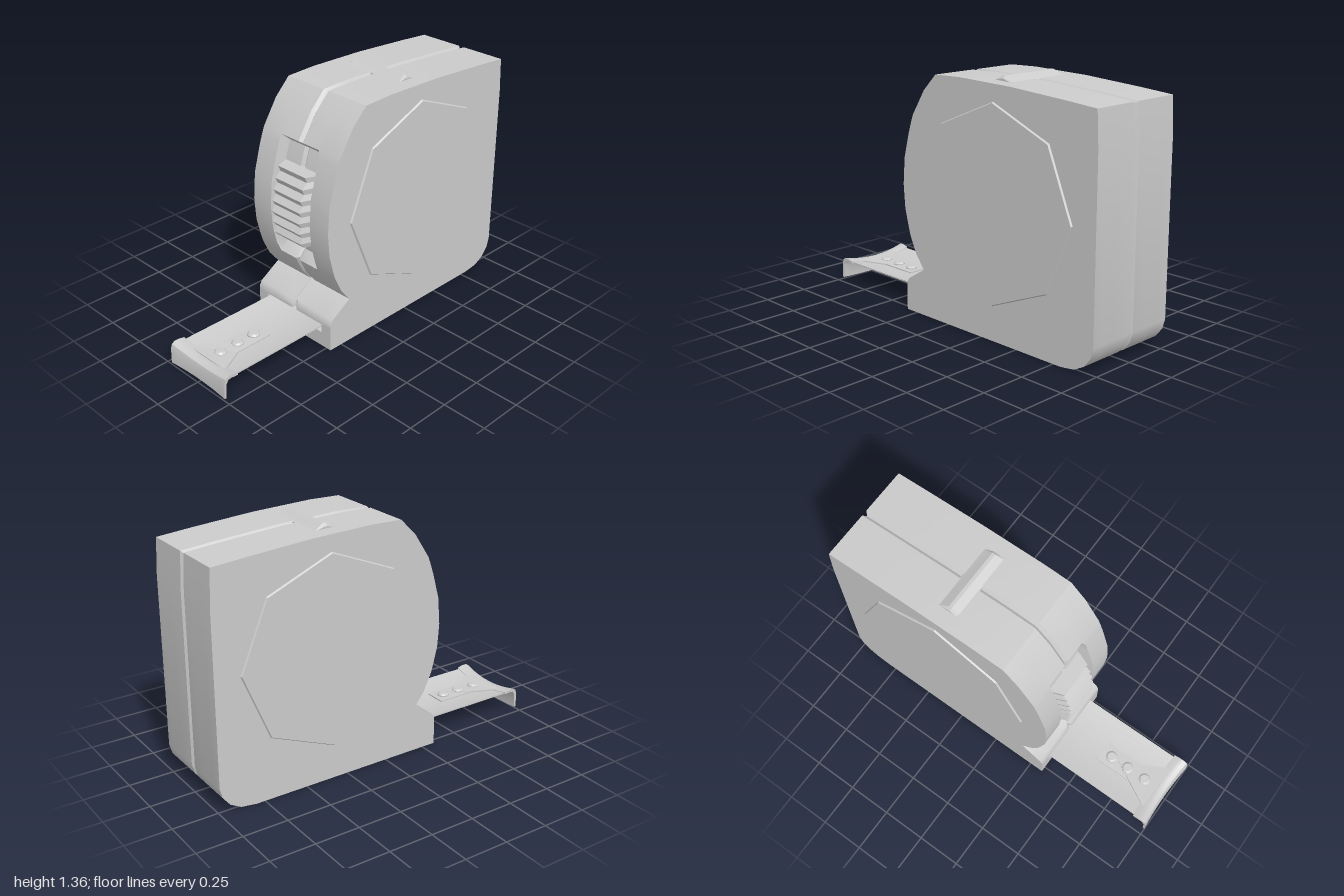
import * as THREE from 'three';
import { toCreasedNormals } from 'three/addons/utils/BufferGeometryUtils.js';

const grey = new THREE.MeshStandardMaterial({ color: 0xcccccc });

// Joins [z, y] outlines (counter-clockwise, z to the right) standing at rising x, with closed ends
function loft(rings, crease = 0.6) {
  const n = rings[0].pts.length;
  const pos = [], index = [];
  rings.forEach(r => r.pts.forEach(([z, y]) => pos.push(r.x, y, z)));
  for (let i = 0; i < rings.length - 1; i++) {
    for (let j = 0; j < n; j++) {
      const a = i * n + j, b = i * n + (j + 1) % n;
      index.push(a, a + n, b, b, a + n, b + n);
    }
  }
  const cap = (ring, base, flip) => {
    const outline = ring.pts.map(([z, y]) => new THREE.Vector2(z, y));
    for (const [a, b, c] of THREE.ShapeUtils.triangulateShape(outline, [])) {
      if (flip) index.push(base + a, base + c, base + b);
      else index.push(base + a, base + b, base + c);
    }
  };
  cap(rings[0], 0, false);
  cap(rings[rings.length - 1], (rings.length - 1) * n, true);
  const geo = new THREE.BufferGeometry();
  geo.setAttribute('position', new THREE.Float32BufferAttribute(pos, 3));
  geo.setIndex(index);
  return toCreasedNormals(geo, crease);
}

// Case outline [z, y, tag]: tag 1 sinks for the tape slot, tag 2 for the thumb recess
const CASE = [
  [0.33, 0], [0.33, 0.084], [0.33, 0.086, 1], [0.33, 0.132, 1], [0.33, 0.134], [0.33, 0.155],
  [0.315, 0.182], [0.19, 0.26], [0.25, 0.335], [0.295, 0.43],
  [0.31, 0.48, 2], [0.335, 0.58, 2], [0.345, 0.71, 2], [0.333, 0.86, 2], [0.295, 1.0, 2], [0.275, 1.06, 2],
  [0.26, 1.1], [0.17, 1.24], [0.08, 1.33], [-0.1, 1.335], [-0.45, 1.325], [-0.8, 1.302], [-0.99, 1.287],
  [-1, 1.1], [-1, 0.15], [-0.985, 0.095], [-0.945, 0.045], [-0.885, 0.012], [-0.8, 0],
];

function caseRing(x, slot, recess, scale = 1) {
  const pts = CASE.map(([z, y, tag]) => {
    if (tag === 1) z -= slot;
    if (tag === 2) z -= recess;
    return [-0.33 + (z + 0.33) * scale, 0.67 + (y - 0.67) * scale];
  });
  return { x, pts };
}

// Height of the dished tape across its width
const sag = x => 0.098 + 0.024 * (x / 0.21) ** 2;
const across = (half, count, outline) => Array.from({ length: count + 1 }, (_, i) => {
  const x = half * (2 * i / count - 1);
  return { x, pts: outline(x) };
});

export function createModel() {
  const model = new THREE.Group();
  const add = (name, geo, parent = model) => {
    const mesh = new THREE.Mesh(geo, grey);
    mesh.name = name;
    parent.add(mesh);
    return mesh;
  };

  // Case with a V seam around the middle, a thumb recess and a tape slot
  const half = [[0.017, 0.2, 0.06], [0.13, 0.2, 0.06], [0.147, 0.2, 0], [0.212, 0.2, 0], [0.212, 0, 0], [0.28, 0, 0]];
  add('case', loft([
    ...half.slice().reverse().map(([x, s, r]) => caseRing(-x, s, r)),
    caseRing(0, 0.2, 0.06, 0.975),
    ...half.map(([x, s, r]) => caseRing(x, s, r)),
  ]));

  // Octagonal side panels with a slim bevel
  for (const side of [-1, 1]) {
    const bevel = new THREE.CylinderGeometry(0.519, 0.527, 0.012, 8);
    bevel.rotateZ(-side * Math.PI / 2);
    const panel = add(side > 0 ? 'leftPanel' : 'rightPanel', toCreasedNormals(bevel, 0.3));
    panel.position.set(side * 0.283, 0.715, -0.335);
  }

  // Ridged thumb lock with sloping sides
  const teeth = Array.from({ length: 14 }, (_, i) => {
    const y = 0.56 + i * 0.0305;
    return [0.368 - 0.8 * (y - 0.7) ** 2 + (i % 2 ? 0.011 : -0.011), y];
  });
  const lockRing = (x, sink) => ({ x, pts: [[0.2, 0.56], ...teeth.map(([z, y]) => [z - sink, y]), [0.2, 0.9565]] });
  add('thumbLock', loft([lockRing(-0.128, 0.07), lockRing(-0.1, 0), lockRing(0.1, 0), lockRing(0.128, 0.07)], 0.3));

  // Low rib across the top
  const ribRing = (x, top) => ({
    x, pts: [[-0.255, 1.3], [-0.255, 1.328], [-0.3, top], [-0.318, top], [-0.375, 1.324], [-0.375, 1.3]],
  });
  add('topRib', loft([ribRing(-0.19, 1.34), ribRing(-0.175, 1.355), ribRing(0.175, 1.355), ribRing(0.19, 1.34)], 0.3));

  // Dished tape blade
  const tape = new THREE.Group();
  tape.name = 'tape';
  model.add(tape);
  add('blade', loft(across(0.205, 10, x => {
    const y = sag(x);
    return [[0.94, y - 0.008], [0.94, y], [0.15, y], [0.15, y - 0.008]];
  })), tape);

  // End hook, bent down at the front
  add('endHook', loft(across(0.215, 10, x => {
    const y = sag(x), bow = 0.012 * (1 - (x / 0.215) ** 2);
    return [
      [0.91, y - 0.009], [0.95, y - 0.006], [0.97, y - 0.008], [0.984, y - 0.03], [0.988, 0.012],
      [1.0, 0.012], [0.998, y - 0.025], [0.99, y], [0.972, y + 0.011], [0.945, y + 0.011], [0.91, y + 0.003],
    ].map(([z, h]) => [z - bow, h]);
  })), tape);

  // Hook tongue lying on the blade
  const outline = [[-0.06, 0.56], [0.06, 0.56], [0.06, 0.78], [0.14, 0.93], [-0.14, 0.93], [-0.06, 0.78]];
  const tongue = new THREE.ExtrudeGeometry(
    new THREE.Shape(outline.map(p => new THREE.Vector2(...p))), { depth: 0.008, bevelEnabled: false });
  tongue.rotateX(Math.PI / 2);
  const p = tongue.attributes.position;
  for (let i = 0; i < p.count; i++) p.setY(i, p.getY(i) + sag(p.getX(i)) + 0.006);
  tongue.computeVertexNormals();
  add('hookTongue', tongue, tape);

  // Rivets through tongue and blade
  const rivet = new THREE.LatheGeometry(
    [[0, -0.022], [0.024, -0.022], [0.034, -0.012], [0.034, 0.012], [0.024, 0.02], [0, 0.02]]
      .map(q => new THREE.Vector2(...q)), 10);
  const rivetGeo = toCreasedNormals(rivet, 0.4);
  for (const z of [0.62, 0.73, 0.845]) add('rivet', rivetGeo, tape).position.set(0, 0.101, z);

  return model;
}
